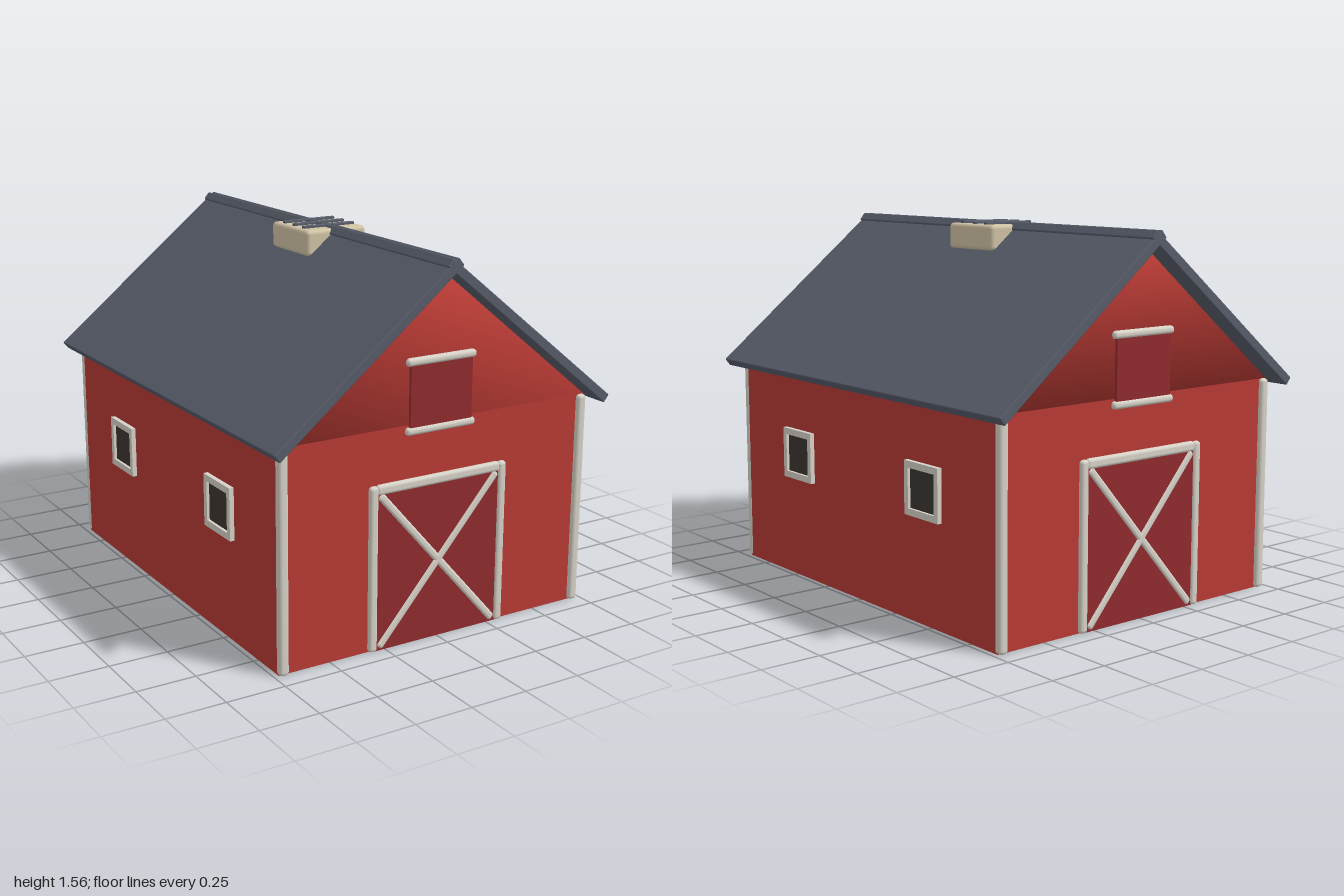
import * as THREE from 'three';
import { RoundedBoxGeometry } from 'three/addons/geometries/RoundedBoxGeometry.js';

const paint = (name, color) => {
  const m = new THREE.MeshStandardMaterial({ color });
  m.name = name;
  return m;
};

export function createModel() {
  const red = paint('barn red', 0xb83a34);
  const darkRed = paint('door red', 0x902b2e);
  const slate = paint('roof slate', 0x575c69);
  const white = paint('trim white', 0xd6d2c8);
  const cream = paint('vent cream', 0xcfc2a4);
  const glass = paint('window dark', 0x3c3533);

  const W = 0.728, D = 0.912, EAVE = 0.91, PEAK = 1.5;
  const barn = new THREE.Group();
  barn.name = 'barn';

  const add = (parent, name, geometry, material, x = 0, y = 0, z = 0) => {
    const mesh = new THREE.Mesh(geometry, material);
    mesh.name = name;
    mesh.position.set(x, y, z);
    parent.add(mesh);
    return mesh;
  };
  const box = (w, h, d) => new THREE.BoxGeometry(w, h, d);
  const rounded = (w, h, d, r) => new RoundedBoxGeometry(w, h, d, 3, r);

  // Walls
  add(barn, 'walls', box(2 * W, EAVE, 2 * D), red, 0, EAVE / 2, 0);

  // Gable prism with shared corners, so its shading is smooth
  const gable = new THREE.BufferGeometry();
  const corners = [];
  for (const z of [D, -D]) corners.push(-W, EAVE, z, W, EAVE, z, 0, PEAK, z);
  gable.setAttribute('position', new THREE.Float32BufferAttribute(corners, 3));
  gable.setIndex([0, 1, 2, 3, 5, 4, 1, 4, 5, 1, 5, 2, 0, 2, 5, 0, 5, 3, 0, 3, 4, 0, 4, 1]);
  gable.computeVertexNormals();
  add(barn, 'gable', gable, red);

  // Roof slabs, which cross at the ridge
  const slope = Math.atan2(0.615, 0.765), thick = 0.04;
  const low = 0.765, high = -0.038;
  for (const s of [1, -1]) {
    const mid = (low + high) / 2;
    const slab = add(barn, s > 0 ? 'leftRoof' : 'rightRoof',
      rounded((low - high) / Math.cos(slope), thick, 2, 0.005), slate,
      s * (mid + Math.sin(slope) * thick / 2),
      PEAK - mid * Math.tan(slope) + Math.cos(slope) * thick / 2, 0);
    slab.rotation.z = -s * slope;
  }

  // Ridge vent with dark slats
  add(barn, 'ridgeVent', rounded(0.29, 0.11, 0.3, 0.018), cream, 0, 1.495, 0);
  for (const z of [-0.08, 0, 0.08]) {
    add(barn, 'ventSlat', rounded(0.25, 0.02, 0.02, 0.005), slate, 0, 1.551, z);
  }

  // Corner posts
  for (const x of [-0.71, 0.71]) for (const z of [-D, D]) {
    add(barn, 'cornerPost', rounded(0.042, EAVE, 0.04, 0.015), white, x, EAVE / 2, z);
  }

  // Door and loft hatch, the same at both ends
  for (const end of ['front', 'back']) {
    const face = new THREE.Group();
    face.name = end + 'Doors';
    if (end === 'back') face.rotation.y = Math.PI;
    barn.add(face);

    add(face, 'door', box(0.59, 0.66, 0.02), darkRed, 0, 0.33, D);
    for (const x of [-0.307, 0.307]) {
      add(face, 'doorPost', rounded(0.038, 0.69, 0.04, 0.014), white, x, 0.345, D);
    }
    add(face, 'doorLintel', rounded(0.59, 0.042, 0.036, 0.014), white, 0, 0.671, D);
    for (const s of [1, -1]) {
      const brace = add(face, 'doorBrace', rounded(0.85, 0.036, 0.034, 0.014), white, 0, 0.331, D);
      brace.rotation.z = s * Math.atan2(0.64, 0.56);
    }

    add(face, 'loftHatch', box(0.29, 0.27, 0.024), darkRed, 0, 1.02, D);
    for (const y of [0.885, 1.16]) {
      add(face, 'hatchBar', rounded(0.325, 0.032, 0.04, 0.014), white, 0, y, D);
    }
  }

  // Side windows: a square frame around a recessed pane
  const outline = new THREE.Shape();
  outline.moveTo(-0.11, -0.11).lineTo(0.11, -0.11).lineTo(0.11, 0.11).lineTo(-0.11, 0.11).closePath();
  const hole = new THREE.Path();
  hole.moveTo(-0.085, -0.082).lineTo(-0.085, 0.082).lineTo(0.085, 0.082).lineTo(0.085, -0.082).closePath();
  outline.holes.push(hole);
  const frame = new THREE.ExtrudeGeometry(outline, { depth: 0.03, bevelEnabled: false });
  for (const s of [1, -1]) for (const z of [-0.457, 0.457]) {
    const win = new THREE.Group();
    win.name = s > 0 ? 'leftWindow' : 'rightWindow';
    win.position.set(s * 0.718, 0.547, z);
    win.rotation.y = s * Math.PI / 2;
    add(win, 'windowFrame', frame, white);
    add(win, 'windowPane', box(0.172, 0.166, 0.008), glass, 0, 0, 0.014);
    barn.add(win);
  }

  return barn;
}
